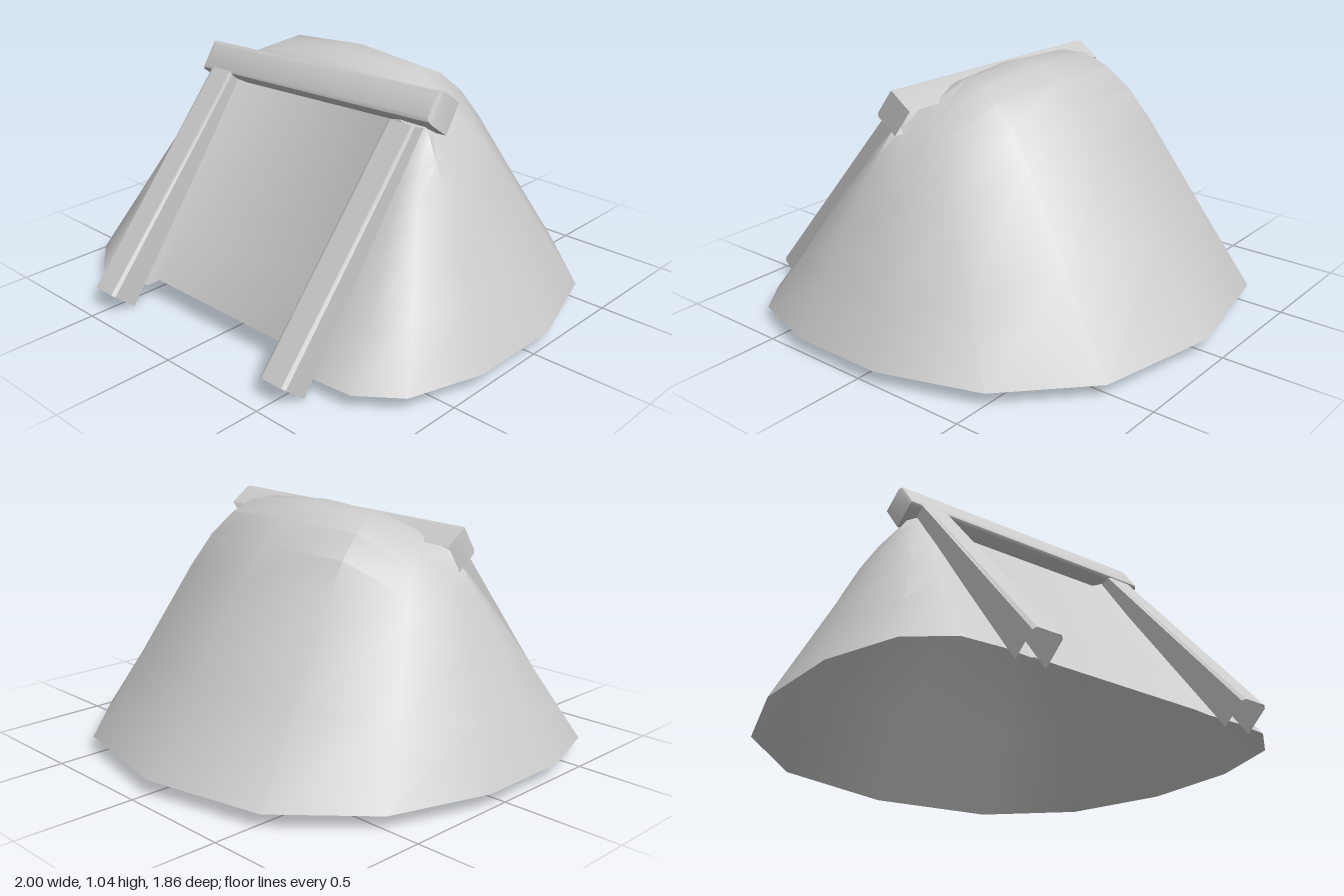
import * as THREE from 'three';
import { toCreasedNormals } from 'three/addons/utils/BufferGeometryUtils.js';

const material = new THREE.MeshStandardMaterial({ color: 0xcccccc, side: THREE.DoubleSide });

// Skins a list of equally long cross-sections
function loft(name, rows, closed, crease) {
  const n = rows[0].length, index = [];
  for (let i = 0; i < rows.length - 1; i++) {
    for (let j = 0; j < (closed ? n : n - 1); j++) {
      const k = (j + 1) % n;
      const a = i * n + j, b = i * n + k, c = a + n, d = b + n;
      index.push(a, c, b, b, c, d);
    }
  }
  const geometry = new THREE.BufferGeometry();
  geometry.setAttribute('position', new THREE.Float32BufferAttribute(rows.flat(2), 3));
  geometry.setIndex(index);
  const mesh = new THREE.Mesh(toCreasedNormals(geometry, crease), material);
  mesh.name = name;
  return mesh;
}

// Hollow earth mound: ribs run from the base outline to the crest
function createMound() {
  // base point, crest point, bulge
  const half = [
    [0, 0.065, -0.93, 0, 1.02, 0.1, 1],
    [0.535, 0.065, -0.82, 0.3, 1.0, 0.1, 1],
    [0.86, 0.065, -0.51, 0.46, 0.95, 0.12, 0.65],
    [1.0, 0.065, -0.09, 0.54, 0.9, 0.15, 0.25],
    [1.0, 0.065, 0.33, 0.57, 0.88, 0.17, 0.2],
    [0.9, 0.065, 0.64, 0.56, 0.87, 0.19, 0.08],
    [0.74, 0.065, 0.765, 0.53, 0.87, 0.2, 0],
    [0.57, 0.065, 0.78, 0.5, 0.88, 0.2, 0],
    [0.44, 0.075, 0.755, 0.44, 0.9, 0.18, 0],
    [0.4, 0.1, 0.72, 0.4, 0.93, 0.13, 0],
  ];
  const mirrored = half.slice(1).reverse().map(([x, y, z, u, v, w, b]) => [-x, y, z, -u, v, w, b]);
  const ribs = [...half, ...mirrored];
  const inward = [0, 0.25, 0.495, 0.6, 0.71, 0.815, 0.93, 1];
  const upward = [0, 0.37, 0.738, 0.874, 0.969, 1.02, 1.026, 1];
  const rows = inward.map((h, i) => ribs.map(([x, y, z, u, v, w, bulge]) => {
    const rise = THREE.MathUtils.lerp(h, upward[i], bulge);
    return [x + (u - x) * h, y + (v - y) * rise, z + (w - z) * h];
  }));
  rows.push(ribs.map(() => [0, 1.0, 0.14])); // closes the crest behind the beam
  return loft('mound', rows, true, 0.6);
}

// Leaning channel post, open at the back and tapering upward
function createPost(name, x) {
  const section = (front, back) => {
    const at = (side, t) => [
      x + side,
      THREE.MathUtils.lerp(front[0], back[0], t),
      THREE.MathUtils.lerp(front[1], back[1], t),
    ];
    return [at(0.065, 1), at(0.065, 0.1), at(0.052, 0), at(-0.052, 0), at(-0.065, 0.1), at(-0.065, 1)];
  };
  // corners given as [y, z]
  const rows = [section([0.09, 0.93], [0.005, 0.83]), section([0.9, 0.24], [0.88, 0.185])];
  return loft(name, rows, false, 0.3);
}

// Slightly crooked lintel with a bevelled front
function createBeam() {
  const ring = (inset, z) => {
    const w = 0.628 - inset, h = 0.068 - inset;
    return [[-w, -h, z], [-w, h, z], [w, h, z], [w, -h, z]];
  };
  const rows = [ring(0, -0.063), ring(0, 0.043), ring(0.006, 0.057), ring(0.02, 0.063)];
  rows.push(rows[0].map(() => [0, 0, 0.063]));
  const beam = loft('beam', rows, true, 0.5);
  beam.rotation.set(-0.62, 0, 0.036);
  beam.position.set(0, 0.922, 0.15);
  return beam;
}

export function createModel() {
  const model = new THREE.Group();
  model.name = 'moundEntrance';
  model.add(createMound(), createPost('leftPost', 0.505), createPost('rightPost', -0.505), createBeam());
  return model;
}
